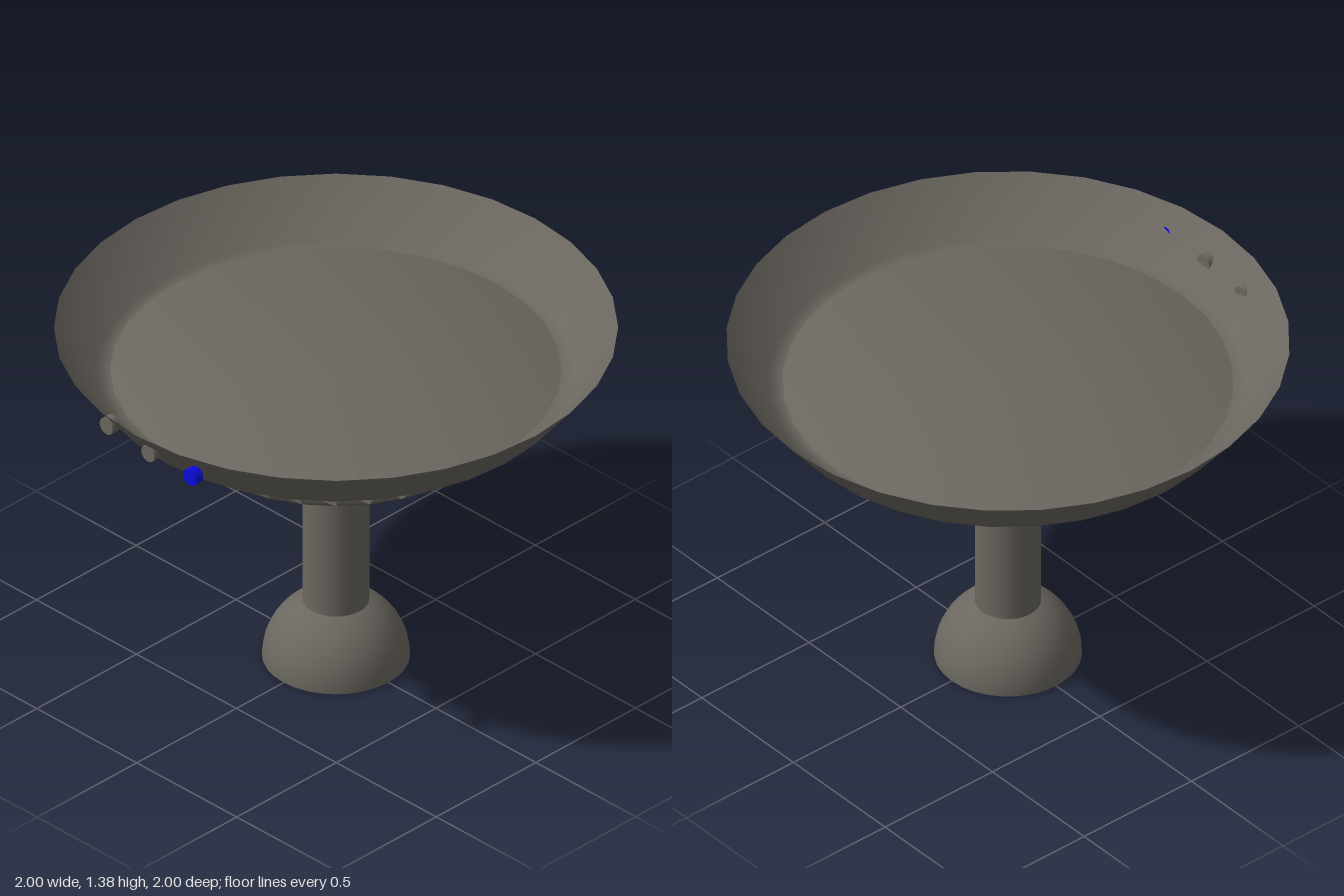
import * as THREE from 'three';

export function createModel() {
  const model = new THREE.Group();
  const stone = new THREE.MeshStandardMaterial({ color: 0x6b6760, side: THREE.DoubleSide });
  stone.name = 'warm grey';
  const blue = new THREE.MeshStandardMaterial({ color: 0x0a0ae0 });
  blue.name = 'blue';

  const add = (name, geometry, material, x = 0, y = 0, z = 0) => {
    const mesh = new THREE.Mesh(geometry, material);
    mesh.name = name;
    mesh.position.set(x, y, z);
    model.add(mesh);
    return mesh;
  };
  const lathe = (points) =>
    new THREE.LatheGeometry(points.map(([r, y]) => new THREE.Vector2(r, y)), 32);

  // Hollow dome foot, open underneath
  add('foot', new THREE.SphereGeometry(0.263, 32, 12, 0, Math.PI * 2, 0, Math.PI / 2), stone);

  // Column running through the foot up to the basin
  add('column', new THREE.CylinderGeometry(0.118, 0.118, 1.03, 32), stone, 0, 0.52, 0);

  // Solid lower basin with softly shaded edges; its top is the basin floor
  add('basin', lathe([[0, 1.02], [0.61, 1.02], [0.8, 1.2], [0, 1.2]]), stone);

  // Thin flared rim with a narrow ledge under it
  add('rim', lathe([[0.79, 1.195], [0.85, 1.195], [1, 1.38]]), stone);

  // Row of three round buttons on the front of the rim
  const button = new THREE.CylinderGeometry(0.033, 0.033, 0.035, 16).rotateX(Math.PI / 2);
  add('rightButton', button, stone, -0.23, 1.28, 0.905);
  add('middleButton', button, stone, 0, 1.28, 0.927);
  add('leftButton', button, blue, 0.215, 1.28, 0.932);

  return model;
}
